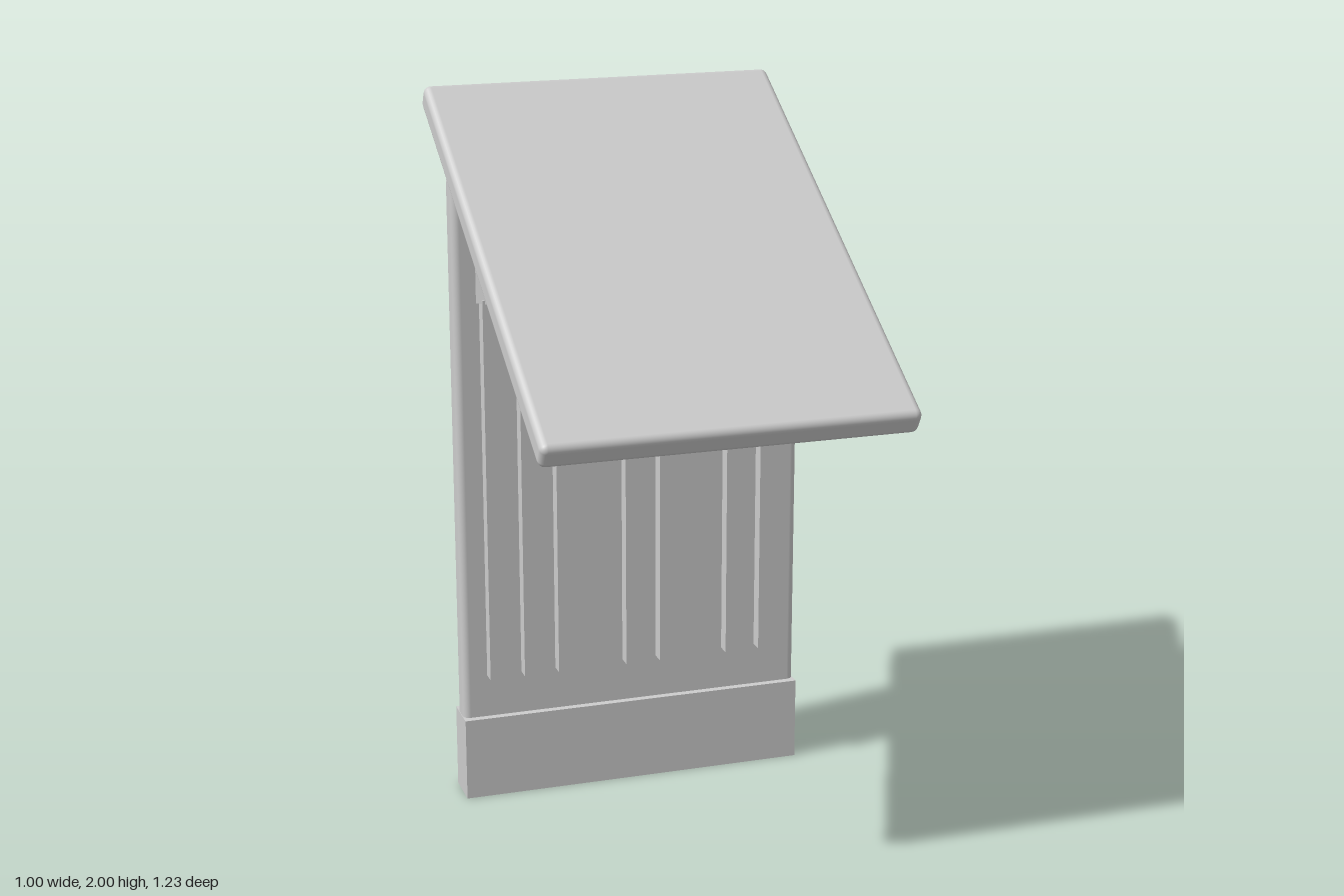
import * as THREE from 'three';
import { RoundedBoxGeometry } from 'three/addons/geometries/RoundedBoxGeometry.js';

export function createModel() {
  const group = new THREE.Group();
  const grey = new THREE.MeshStandardMaterial({ color: 0xcccccc });
  grey.name = 'light grey';

  function add(name, geometry, x, y, z, parent = group) {
    const mesh = new THREE.Mesh(geometry, grey);
    mesh.name = name;
    mesh.position.set(x, y, z);
    parent.add(mesh);
    return mesh;
  }

  // Plinth and upright panel
  add('base', new THREE.BoxGeometry(1, 0.24, 0.115), 0, 0.12, -0.318);
  add('backPanel', new RoundedBoxGeometry(0.998, 1.77, 0.074, 3, 0.02), 0, 0.915, -0.318);

  // Sloping canopy
  const canopy = add('canopy', new RoundedBoxGeometry(1, 1.39, 0.074, 3, 0.02), 0, 1.626, 0);
  canopy.rotation.x = -Math.PI / 3;

  // Hanging bars in groups of three, two and two, each with a diamond-plan cap
  const bar = new THREE.BoxGeometry(0.06, 1.1, 0.04);
  const head = new THREE.CylinderGeometry(0.043, 0.043, 0.137, 4).toNonIndexed();
  const tip = new THREE.ConeGeometry(0.043, 0.02, 4, 1, true).toNonIndexed();
  for (const g of [head, tip]) g.computeVertexNormals();
  for (const x of [-0.405, -0.305, -0.205, -0.005, 0.095, 0.295, 0.395]) {
    const post = new THREE.Group();
    post.name = 'post';
    post.position.set(x, 0, -0.236);
    add('bar', bar, 0, 0.925, 0, post);
    add('postHead', head, 0, 1.5335, 0, post);
    add('postTip', tip, 0, 1.612, 0, post);
    group.add(post);
  }
  return group;
}
